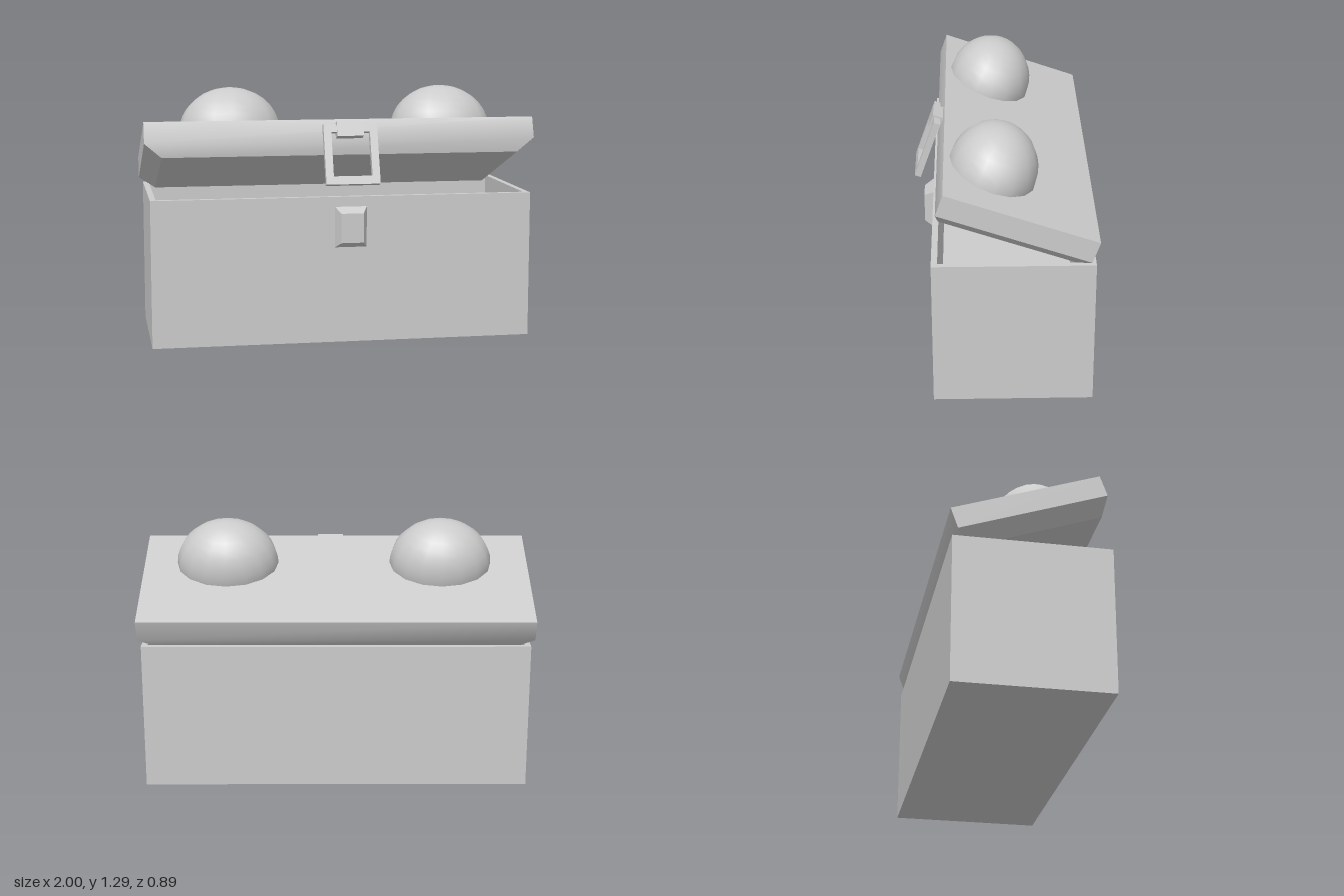
import * as THREE from 'three';
import { toCreasedNormals } from 'three/addons/utils/BufferGeometryUtils.js';

const material = new THREE.MeshStandardMaterial({ color: 0xcccccc });

function add(parent, name, geometry, x = 0, y = 0, z = 0) {
  const mesh = new THREE.Mesh(geometry, material);
  mesh.name = name;
  mesh.position.set(x, y, z);
  parent.add(mesh);
  return mesh;
}

// Closed solid through rectangles stacked from bottom to top: [y, x0, x1, z0, z1]
function stack(rings) {
  const points = [], index = [];
  const quad = (a, b, c, d) => index.push(a, b, c, a, c, d);
  rings.forEach(([y, x0, x1, z0, z1], r) => {
    points.push(x0, y, z1, x1, y, z1, x1, y, z0, x0, y, z0);
    if (r === 0) return;
    for (let i = 0; i < 4; i++) {
      const j = (i + 1) % 4, a = 4 * (r - 1), b = 4 * r;
      quad(a + i, a + j, b + j, b + i);
    }
  });
  const t = 4 * (rings.length - 1);
  quad(3, 2, 1, 0);
  quad(t, t + 1, t + 2, t + 3);
  const geometry = new THREE.BufferGeometry();
  geometry.setAttribute('position', new THREE.Float32BufferAttribute(points, 3));
  geometry.setIndex(index);
  return toCreasedNormals(geometry, THREE.MathUtils.degToRad(35));
}

// Rectangular frame, centred, lying in the xy plane
function frame(width, height, barX, barY, depth) {
  const w = width / 2, h = height / 2, iw = w - barX, ih = h - barY;
  const rect = (a, b) => [[-a, -b], [a, -b], [a, b], [-a, b]].map(p => new THREE.Vector2(...p));
  const shape = new THREE.Shape(rect(w, h));
  shape.holes.push(new THREE.Path(rect(iw, ih)));
  const geometry = new THREE.ExtrudeGeometry(shape, { depth, bevelEnabled: false });
  return geometry.translate(0, 0, -depth / 2);
}

export function createModel() {
  const model = new THREE.Group();
  model.name = 'chest';

  // Open box: four walls and a floor
  const wallHeight = 0.75;
  const walls = frame(1.955, 0.78, 0.03, 0.03, wallHeight).rotateX(-Math.PI / 2);
  add(model, 'boxWalls', walls, 0, wallHeight / 2, -0.04);
  add(model, 'boxFloor', new THREE.BoxGeometry(1.9, 0.03, 0.73), 0, 0.015, -0.04);

  // Bevelled catch on the front of the box
  const catchBlock = stack([
    [0, -0.083, 0.083, -0.105, 0.105],
    [0.053, -0.057, 0.057, -0.075, 0.075],
  ]);
  add(model, 'catch', catchBlock, 0.035, 0.595, 0.348).rotation.x = Math.PI / 2;

  // Tilted lid: origin at its top back edge, z towards the front, y out of the top
  const lid = new THREE.Group();
  lid.name = 'lid';
  lid.position.set(0, 0.882, -0.443);
  lid.rotation.x = -0.337;
  model.add(lid);

  add(lid, 'lidPanel', stack([
    [-0.177, -0.915, 0.915, 0.035, 0.739],
    [-0.111, -1, 1, 0, 0.774],
    [0, -1, 1, 0, 0.774],
  ]));

  // Two domes on the lid
  const dome = new THREE.SphereGeometry(1, 16, 8, 0, Math.PI * 2, 0, Math.PI / 2);
  for (const side of [-1, 1]) {
    const name = side < 0 ? 'rightDome' : 'leftDome';
    add(lid, name, dome, 0.01 + side * 0.555, 0, 0.524).scale.set(0.265, 0.237, 0.22);
  }

  // Hinge block and the loop hanging from it
  add(lid, 'hingeBlock', new THREE.BoxGeometry(0.135, 0.075, 0.06), 0.03, -0.063, 0.797);
  add(lid, 'claspLoop', frame(0.275, 0.312, 0.039, 0.042, 0.032), 0.032, -0.191, 0.803);

  return model;
}
